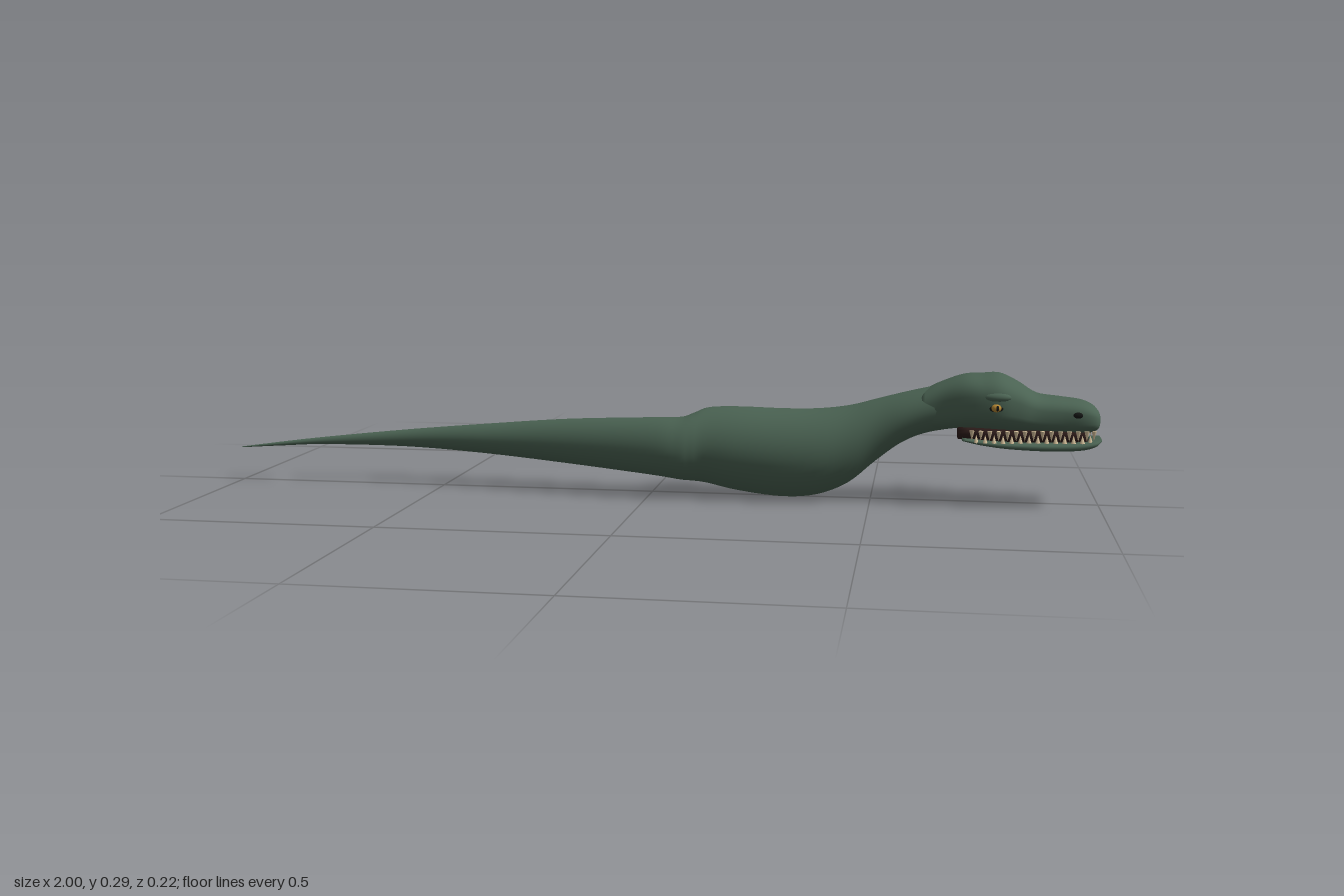
import * as THREE from 'three';

const mat = (name, color) => {
  const m = new THREE.MeshStandardMaterial({ color });
  m.name = name;
  return m;
};

// Smooth skin through sections [x, top, bottom, centreZ, halfWidth], with squarish rings for power > 2
function loft(sections, power = 2, steps = 5, sides = 36) {
  const heights = new THREE.CatmullRomCurve3(sections.map(s => new THREE.Vector3(s[0], s[1], s[2])), false, 'catmullrom', 0.5);
  const widths = new THREE.CatmullRomCurve3(sections.map(s => new THREE.Vector3(s[3], s[4], 0)), false, 'catmullrom', 0.5);
  const rows = (sections.length - 1) * steps;
  const pos = [], idx = [];
  const round = v => Math.sign(v) * Math.pow(Math.abs(v), 2 / power);
  for (let i = 0; i <= rows; i++) {
    const h = heights.getPoint(i / rows), w = widths.getPoint(i / rows);
    for (let j = 0; j < sides; j++) {
      const a = (j / sides) * Math.PI * 2;
      pos.push(h.x, (h.y + h.z) / 2 + (h.y - h.z) / 2 * round(Math.cos(a)), w.x + w.y * round(Math.sin(a)));
      if (i < rows) {
        const k = (j + 1) % sides, p = i * sides, q = p + sides;
        idx.push(p + j, p + k, q + j, p + k, q + k, q + j);
      }
    }
  }
  // End caps
  for (const [i, s] of [[0, sections[0]], [rows, sections[sections.length - 1]]]) {
    const c = pos.length / 3;
    pos.push(s[0], (s[1] + s[2]) / 2, s[3]);
    for (let j = 0; j < sides; j++) {
      const a = i * sides + j, b = i * sides + (j + 1) % sides;
      if (i === 0) idx.push(c, b, a); else idx.push(c, a, b);
    }
  }
  const g = new THREE.BufferGeometry();
  g.setAttribute('position', new THREE.Float32BufferAttribute(pos, 3));
  g.setIndex(idx);
  g.computeVertexNormals();
  return g;
}

export function createModel() {
  const root = new THREE.Group();
  root.name = 'reptile';
  const skin = mat('skin green', 0x4a6252);
  const ivory = mat('tooth ivory', 0xd6c19c);
  const amber = mat('eye amber', 0xb98a35);
  const black = mat('pupil black', 0x141614);
  const mouth = mat('mouth dark', 0x2a1a18);
  const add = (name, geometry, material, parent = root) => {
    const m = new THREE.Mesh(geometry, material);
    m.name = name;
    parent.add(m);
    return m;
  };

  // Curved tail, barrel body and neck
  add('bodyAndTail', loft([
    [-1, 0.081, 0.079, 0.01, 0.001],
    [-0.9, 0.093, 0.083, -0.012, 0.005],
    [-0.8, 0.104, 0.086, -0.03, 0.009],
    [-0.6, 0.125, 0.084, -0.042, 0.02],
    [-0.4, 0.146, 0.076, -0.023, 0.038],
    [-0.2, 0.166, 0.063, 0.005, 0.051],
    [0, 0.178, 0.047, 0.032, 0.063],
    [0.07, 0.181, 0.038, 0.034, 0.067],
    [0.1, 0.19, 0.034, 0.022, 0.076],
    [0.13, 0.2, 0.027, 0.002, 0.093],
    [0.2, 0.203, 0.012, 0, 0.1],
    [0.3, 0.201, 0.001, 0, 0.103],
    [0.38, 0.203, 0.008, 0, 0.099],
    [0.45, 0.212, 0.037, 0, 0.085],
    [0.51, 0.228, 0.088, 0, 0.071],
    [0.57, 0.244, 0.133, 0, 0.067],
    [0.63, 0.258, 0.157, 0, 0.064],
    [0.72, 0.275, 0.172, 0, 0.064],
  ]), skin);

  // Broad skull tapering to a blunt snout
  add('head', loft([
    [0.61, 0.248, 0.165, 0, 0.058],
    [0.65, 0.268, 0.166, 0, 0.066],
    [0.7, 0.286, 0.17, 0, 0.085],
    [0.74, 0.289, 0.17, 0, 0.096],
    [0.78, 0.29, 0.168, 0, 0.099],
    [0.82, 0.272, 0.166, 0, 0.087],
    [0.86, 0.248, 0.165, 0, 0.072],
    [0.91, 0.241, 0.164, 0, 0.065],
    [0.955, 0.235, 0.164, 0, 0.064],
    [0.98, 0.225, 0.167, 0, 0.058],
    [0.992, 0.213, 0.174, 0, 0.046],
    [0.996, 0.203, 0.183, 0, 0.025],
  ], 2.8), skin);

  // Shallow lower jaw
  add('lowerJaw', loft([
    [0.7, 0.154, 0.145, 0, 0.076],
    [0.74, 0.153, 0.136, 0, 0.083],
    [0.8, 0.15, 0.128, 0, 0.081],
    [0.88, 0.148, 0.124, 0, 0.073],
    [0.95, 0.149, 0.126, 0, 0.064],
    [0.985, 0.152, 0.134, 0, 0.055],
    [1, 0.153, 0.146, 0, 0.036],
  ], 2.6), skin);

  // Dark inside of the mouth
  add('mouthInterior', loft([
    [0.69, 0.178, 0.146, 0, 0.06],
    [0.76, 0.178, 0.14, 0, 0.072],
    [0.88, 0.175, 0.14, 0, 0.06],
    [0.97, 0.173, 0.142, 0, 0.045],
  ], 3, 3, 20), mouth);

  // Tooth rows along both jaws
  const teeth = new THREE.Group();
  teeth.name = 'teeth';
  root.add(teeth);
  const gumLine = new THREE.CatmullRomCurve3([
    [0.72, 0.081], [0.78, 0.081], [0.85, 0.067], [0.92, 0.06], [0.965, 0.054], [0.982, 0.043],
  ].map(([x, z]) => new THREE.Vector3(x, 0, z)));
  const toothGeo = new THREE.ConeGeometry(0.0055, 0.022, 8);
  const count = 15;
  for (const side of [1, -1]) {
    for (let i = 0; i < count; i++) {
      const up = gumLine.getPointAt(i / (count - 1));
      const t = add('upperTooth', toothGeo, ivory, teeth);
      t.position.set(up.x, 0.161, up.z * side);
      t.rotation.x = Math.PI;
      if (i === count - 1) continue;
      const low = gumLine.getPointAt((i + 0.5) / (count - 1));
      const b = add('lowerTooth', toothGeo, ivory, teeth);
      b.position.set(low.x, 0.154, (low.z - 0.003) * side);
      b.scale.y = 0.8;
    }
  }

  // Eyes, brows and nostrils on both sides
  const ball = new THREE.SphereGeometry(1, 20, 14);
  for (const side of [1, -1]) {
    const blob = (name, material, x, y, z, sx, sy, sz) => {
      const m = add(name, ball, material);
      m.position.set(x, y, z * side);
      m.scale.set(sx, sy, sz);
    };
    blob('eyeSocket', black, 0.77, 0.224, 0.093, 0.019, 0.011, 0.008);
    blob('eye', amber, 0.77, 0.225, 0.097, 0.011, 0.009, 0.01);
    blob('pupil', black, 0.772, 0.225, 0.104, 0.004, 0.006, 0.0035);
    blob('brow', skin, 0.772, 0.247, 0.089, 0.03, 0.011, 0.014);
    blob('nostril', black, 0.945, 0.208, 0.062, 0.011, 0.007, 0.005);
  }
  return root;
}
